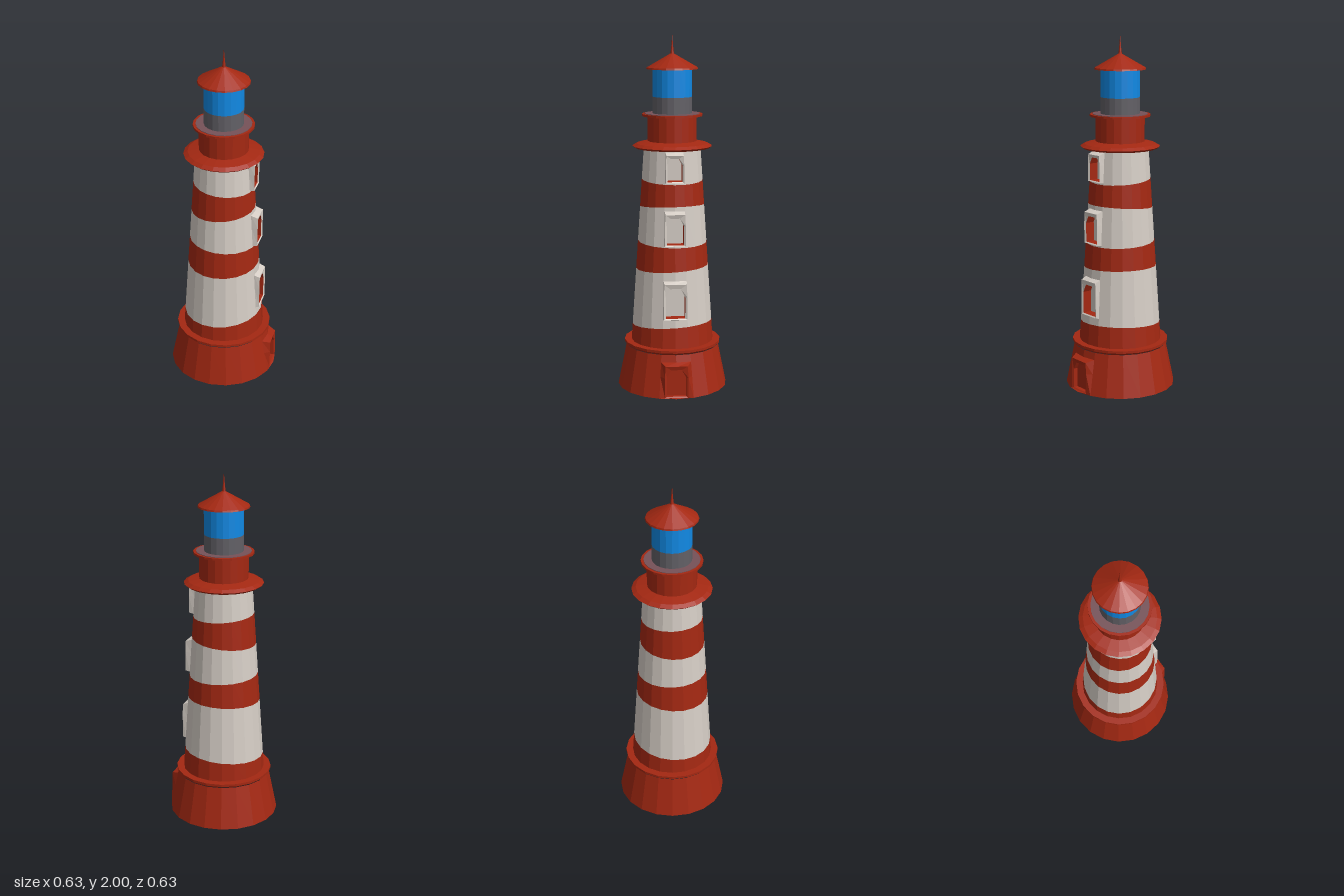
import * as THREE from 'three';

const SIDES = 20, STEP = (Math.PI * 2) / SIDES;

function mat(name, color) {
  const m = new THREE.MeshStandardMaterial({ color });
  m.name = name;
  return m;
}

// Faceted geometry from a flat list of triangle corners
function facets(points) {
  const g = new THREE.BufferGeometry().setFromPoints(points);
  g.computeVertexNormals();
  return g;
}

// Faceted solid of revolution, profile from bottom to top as [radius, y]
function turned(profile) {
  const pts = profile.map(([r, y]) => new THREE.Vector2(r, y));
  const g = new THREE.LatheGeometry(pts, SIDES).toNonIndexed();
  g.computeVertexNormals();
  return g;
}

// Wall strip between two wavy heights, over facets first..last
function wall(radius, low, high, first, last) {
  const out = [];
  const at = (i, h) => {
    const t = i * STEP, y = h(Math.cos(t), Math.sin(t)), r = radius(y);
    return new THREE.Vector3(r * Math.cos(t), y, r * Math.sin(t));
  };
  for (let i = first; i < last; i++) {
    const a = at(i, low), b = at(i, high), c = at(i + 1, high), d = at(i + 1, low);
    out.push(a, b, c, a, c, d);
  }
  return out;
}

// Wall strip with a two-facet opening on the +x side between y0 and y1
function openWall(radius, low, high, y0, y1) {
  return facets([
    ...wall(radius, low, high, 1, SIDES - 1),
    ...wall(radius, low, () => y0, -1, 1),
    ...wall(radius, () => y1, high, -1, 1),
  ]);
}

// Quads joining an outer loop to the next one in
function bridge(a, b) {
  const out = [];
  a.forEach((p, i) => {
    const j = (i + 1) % a.length;
    out.push(p, a[j], b[j], p, b[j], b[i]);
  });
  return out;
}

// Loop of eight corners, anticlockwise seen from +x
function loop(wBottom, wTop, yBottom, yShoulder, yTop, xAt) {
  return [
    [wBottom, yBottom], [0, yBottom], [-wBottom, yBottom], [-wBottom, yShoulder],
    [-wTop, yTop], [0, yTop], [wTop, yTop], [wBottom, yShoulder],
  ].map(([z, y]) => new THREE.Vector3(xAt(z, y), y, z));
}

export function createModel() {
  const model = new THREE.Group();
  model.name = 'lighthouse';
  const red = mat('brick red', 0xa42812);
  const white = mat('warm white', 0xd6cec6);
  const blue = mat('lantern blue', 0x1189e4);
  const grey = mat('metal grey', 0x626066);
  const mauve = mat('deck grey', 0x765258);
  const add = (name, geometry, material, parent = model) => {
    const m = new THREE.Mesh(geometry, material);
    m.name = name;
    parent.add(m);
  };

  const baseR = (y) => 0.313 - y * 0.205;
  const towerR = (y) => 0.235 - (y - 0.26) * 0.067;
  const flat = (y) => () => y;
  const wave = (y, dx, dz) => (c, s) => y + dx * c + dz * s;

  // Framed, recessed arch that fills a two-facet opening
  function arch(name, radius, y0, y1, xFront, wFront, depth, frameMat, paneMat) {
    const g = new THREE.Group();
    g.name = name;
    const h = y1 - y0, s = Math.sin(STEP);
    const edge = [
      [y0, 1], [y0, 0], [y0, -1], [y0 + 0.6 * h, -1],
      [y1, -1], [y1, 0], [y1, 1], [y0 + 0.6 * h, 1],
    ].map(([y, k]) => {
      const r = radius(y);
      return new THREE.Vector3(k ? r * Math.cos(STEP) : r, y, k * r * s);
    });
    const yb = y0 + 0.01, ys = y0 + 0.6 * h, yt = y0 + 0.82 * h;
    const front = loop(wFront, wFront * 0.94, y0 + 0.004, ys, y1 - 0.014, flat(xFront));
    const lip = loop(wFront * 0.82, wFront * 0.45, yb, ys, yt, flat(xFront - 0.006));
    const back = loop(wFront * 0.82, wFront * 0.45, yb, ys, yt, flat(xFront - depth));
    add('frame', facets([...bridge(edge, front), ...bridge(front, lip)]), frameMat, g);
    add('reveal', facets(bridge(lip, back)), red, g);
    const mid = new THREE.Vector3(xFront - depth, ys, 0);
    add('pane', facets(back.flatMap((p, i) => [p, back[(i + 1) % 8], mid])), paneMat, g);
    model.add(g);
  }

  // Plinth with its doorway and rim
  add('base', openWall(baseR, flat(0), flat(0.24), 0, 0.2), red);
  add('baseFloor', turned([[0, 0], [0.313, 0]]), red);
  add('baseRim', turned([[0.26, 0.24], [0.275, 0.252], [0.275, 0.266], [0.23, 0.266]]), red);
  arch('door', baseR, 0, 0.2, 0.304, 0.066, 0.03, red, red);

  // Tower stripes with slightly uneven edges
  const e = [
    flat(0.26), wave(0.368, 0.016, -0.012), wave(0.695, 0.005, -0.012),
    wave(0.844, -0.009, 0.003), wave(1.047, 0.017, -0.004),
    wave(1.198, -0.012, 0.002), flat(1.385),
  ];
  for (let i = 0; i < 6; i += 2)
    add('redStripe', facets(wall(towerR, e[i], e[i + 1], 0, SIDES)), red);

  // White stripes, each with a window
  [[0.43, 0.65, 0.232], [0.845, 1.04, 0.214], [1.195, 1.365, 0.19]].forEach(([y0, y1, x], i) => {
    add('whiteStripe', openWall(towerR, e[2 * i + 1], e[2 * i + 2], y0, y1), white);
    arch('window', towerR, y0, y1, x, towerR(y0) * 0.295, 0.06, white, white);
  });

  // Gallery, watch room and upper deck
  add('gallery', turned([[0.15, 1.37], [0.21, 1.375], [0.224, 1.386], [0.2, 1.4], [0.13, 1.415]]), red);
  add('watchRoom', turned([[0.138, 1.4], [0.138, 1.555]]), red);
  add('upperDeck', turned([[0.13, 1.553], [0.17, 1.553], [0.17, 1.565], [0.1, 1.565]]), red);
  add('deckFloor', turned([[0.155, 1.565], [0.155, 1.568], [0.1, 1.568]]), mauve);

  // Lantern room
  add('lanternWall', turned([[0.11, 1.565], [0.11, 1.66]]), grey);
  add('lanternGlass', turned([[0.11, 1.66], [0.11, 1.818]]), blue);

  // Roof and spire
  add('roof', turned([[0, 1.813], [0.145, 1.813], [0.142, 1.822], [0.01, 1.898]]), red);
  add('spire', turned([[0.011, 1.89], [0.006, 1.93], [0, 2]]), red);
  return model;
}
